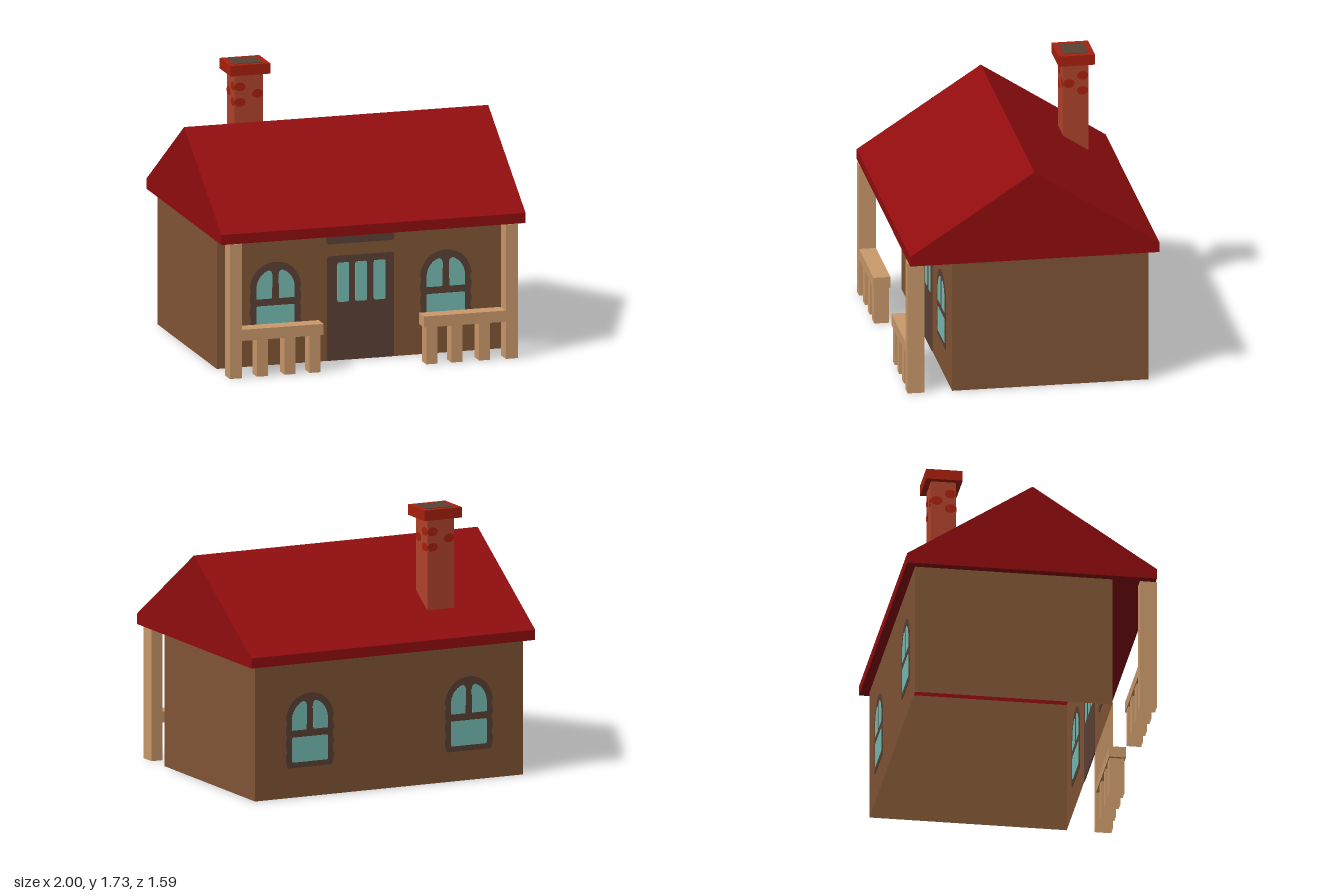
import * as THREE from 'three';

const mat = (name, color, side = THREE.FrontSide) => {
  const m = new THREE.MeshStandardMaterial({ color, side });
  m.name = name;
  return m;
};

export function createModel() {
  const D = THREE.DoubleSide;
  const roofRed = mat('roofRed', 0x930d0f, D);
  const wallBrown = mat('wallBrown', 0x835636, D);
  const paleWood = mat('paleWood', 0xcc9a6b, D);
  const brick = mat('brick', 0xb2442d, D);
  const capRed = mat('capRed', 0xaa200e);
  const darkBrown = mat('darkBrown', 0x5c4135);
  const glass = mat('glass', 0x78bfb5);

  const model = new THREE.Group();
  model.name = 'cottage';

  const add = (name, geo, material, parent = model) => {
    const m = new THREE.Mesh(geo, material);
    m.name = name;
    parent.add(m);
    return m;
  };
  // Box given by its limits; drop lists faces to leave open (2 = top, 3 = bottom)
  const box = (name, material, [x0, x1], [y0, y1], [z0, z1], drop = []) => {
    const g = new THREE.BoxGeometry(x1 - x0, y1 - y0, z1 - z0);
    const idx = Array.from(g.index.array).filter((_, i) => !drop.includes(Math.floor(i / 6)));
    g.setIndex(idx);
    g.clearGroups();
    g.translate((x0 + x1) / 2, (y0 + y1) / 2, (z0 + z1) / 2);
    return add(name, g, material);
  };
  // Thin plate centred on z = 0, so it shows on both sides of a thin wall
  const plate = (shape, depth) =>
    new THREE.ExtrudeGeometry(shape, { depth, bevelEnabled: false, curveSegments: 10 }).translate(0, 0, -depth / 2);
  const rounded = (x0, x1, y0, y1, r) => {
    const s = new THREE.Shape();
    s.moveTo(x0 + r, y0);
    s.lineTo(x1 - r, y0).quadraticCurveTo(x1, y0, x1, y0 + r);
    s.lineTo(x1, y1 - r).quadraticCurveTo(x1, y1, x1 - r, y1);
    s.lineTo(x0 + r, y1).quadraticCurveTo(x0, y1, x0, y1 - r);
    s.lineTo(x0, y0 + r).quadraticCurveTo(x0, y0, x0 + r, y0);
    return s;
  };

  // Hollow walls, open below and above
  const wallX = 0.945, frontZ = 0.515, backZ = -0.738, eaveY = 0.867;
  box('walls', wallBrown, [-wallX, wallX], [0, eaveY], [backZ, frontZ], [2, 3]);

  // Roof shell: profile of (z, y) swept along x, gables closed
  const prof = [[0.79, eaveY], [0.79, 0.932], [0, 1.448], [-0.796, 0.932], [-0.796, eaveY]];
  const pos = [];
  const put = (x, i) => pos.push(x, prof[i][1], prof[i][0]);
  for (let i = 0; i < 4; i++) {
    put(-1, i); put(1, i); put(1, i + 1);
    put(-1, i); put(1, i + 1); put(-1, i + 1);
  }
  for (let i = 1; i < 4; i++) {
    put(1, 0); put(1, i + 1); put(1, i);
    put(-1, 0); put(-1, i); put(-1, i + 1);
  }
  const roofGeo = new THREE.BufferGeometry();
  roofGeo.setAttribute('position', new THREE.Float32BufferAttribute(pos, 3));
  roofGeo.computeVertexNormals();
  add('roof', roofGeo, roofRed);

  // Soffit ring under the overhang
  const ring = rounded(-1, 1, -0.796, 0.79, 0);
  ring.holes.push(rounded(-wallX, wallX, backZ, frontZ, 0));
  const soffit = add('soffit', new THREE.ShapeGeometry(ring), roofRed);
  soffit.rotation.x = Math.PI / 2;
  soffit.position.y = eaveY;

  // Arched window frame with lumpy sides
  const frame = new THREE.Shape();
  frame.moveTo(-0.145, 0.19);
  frame.lineTo(0.145, 0.19);
  frame.quadraticCurveTo(0.16, 0.19, 0.16, 0.21);
  for (let i = 0; i < 3; i++) frame.quadraticCurveTo(0.178, 0.255 + i * 0.09, 0.16, 0.3 + i * 0.09);
  frame.quadraticCurveTo(0.176, 0.51, 0.158, 0.555);
  frame.bezierCurveTo(0.13, 0.635, 0.06, 0.665, 0, 0.665);
  frame.bezierCurveTo(-0.06, 0.665, -0.13, 0.635, -0.158, 0.555);
  frame.quadraticCurveTo(-0.176, 0.51, -0.16, 0.48);
  for (let i = 2; i >= 0; i--) frame.quadraticCurveTo(-0.178, 0.255 + i * 0.09, -0.16, 0.21 + i * 0.09);
  frame.quadraticCurveTo(-0.16, 0.19, -0.145, 0.19);
  const arcPane = (s) => {
    const p = new THREE.Shape();
    p.moveTo(s * 0.024, 0.43);
    p.lineTo(s * 0.126, 0.43);
    p.lineTo(s * 0.126, 0.5);
    p.bezierCurveTo(s * 0.122, 0.56, s * 0.085, 0.6, s * 0.045, 0.613);
    p.quadraticCurveTo(s * 0.02, 0.61, s * 0.02, 0.57);
    p.lineTo(s * 0.024, 0.43);
    return p;
  };
  for (const z of [frontZ, backZ]) for (const x of [-0.56, 0.56]) {
    const w = new THREE.Group();
    w.name = z > 0 ? 'frontWindow' : 'backWindow';
    w.position.set(x, 0, z);
    add('windowFrame', plate(frame, 0.006), darkBrown, w);
    for (const s of [-1, 1]) add('upperPane', plate(arcPane(s), 0.0095), glass, w);
    add('lowerPane', plate(rounded(-0.126, 0.126, 0.225, 0.385, 0.01), 0.0095), glass, w);
    model.add(w);
  }

  // Door with three panes and a lintel
  const door = new THREE.Group();
  door.name = 'door';
  door.position.z = frontZ;
  add('doorPanel', plate(rounded(-0.22, 0.22, 0, 0.675, 0.015), 0.006), darkBrown, door);
  for (const x of [-0.115, 0.003, 0.125])
    add('doorPane', plate(rounded(x - 0.039, x + 0.039, 0.375, 0.63, 0.014), 0.0095), glass, door);
  add('lintel', plate(rounded(-0.225, 0.222, 0.752, 0.825, 0.022), 0.006), darkBrown, door);
  model.add(door);

  // Porch posts, rails and balusters
  const span = (s, a, b) => (s > 0 ? [a, b] : [-b, -a]);
  for (const s of [-1, 1]) {
    box('porchPost', paleWood, span(s, 0.868, 0.947), [0, eaveY], [0.69, 0.798], [3]);
    box('porchRail', paleWood, span(s, 0.33, 0.872), [0.24, 0.312], [0.69, 0.797]);
    for (const x of [0.348, 0.512, 0.694])
      box('baluster', paleWood, span(s, x, x + 0.073), [0, 0.242], [0.695, 0.79], [3]);
  }

  // Chimney with cap and dark flue
  const cx = -0.446, cz = -0.495, hw = 0.093, hd = 0.08;
  box('chimneyStack', brick, [cx - hw, cx + hw], [1.05, 1.66], [cz - hd, cz + hd], [3]);
  box('chimneyCap', capRed, [cx - 0.131, cx + 0.131], [1.657, 1.724], [cz - 0.116, cz + 0.116]);
  box('flue', darkBrown, [cx - hw, cx + hw], [1.722, 1.727], [cz - hd, cz + hd]);

  // Oval bricks on each chimney face
  const oval = new THREE.Shape();
  oval.absellipse(0, 0, 0.036, 0.028, 0, Math.PI * 2);
  for (let k = 0; k < 4; k++) {
    const face = new THREE.Group();
    face.name = 'ovalBricks';
    face.position.set(cx, 0, cz);
    face.rotation.y = k * Math.PI / 2;
    const [w, d, s] = k % 2 ? [hd, hw, 1] : [hw, hd, -1];
    [1.577, 1.527, 1.477].forEach((y, i) => {
      const side = i === 1 ? -s : s;
      add('ovalBrick', plate(oval, 0.005), capRed, face).position.set(side * (w - 0.036), y, d);
    });
    model.add(face);
  }
  return model;
}
